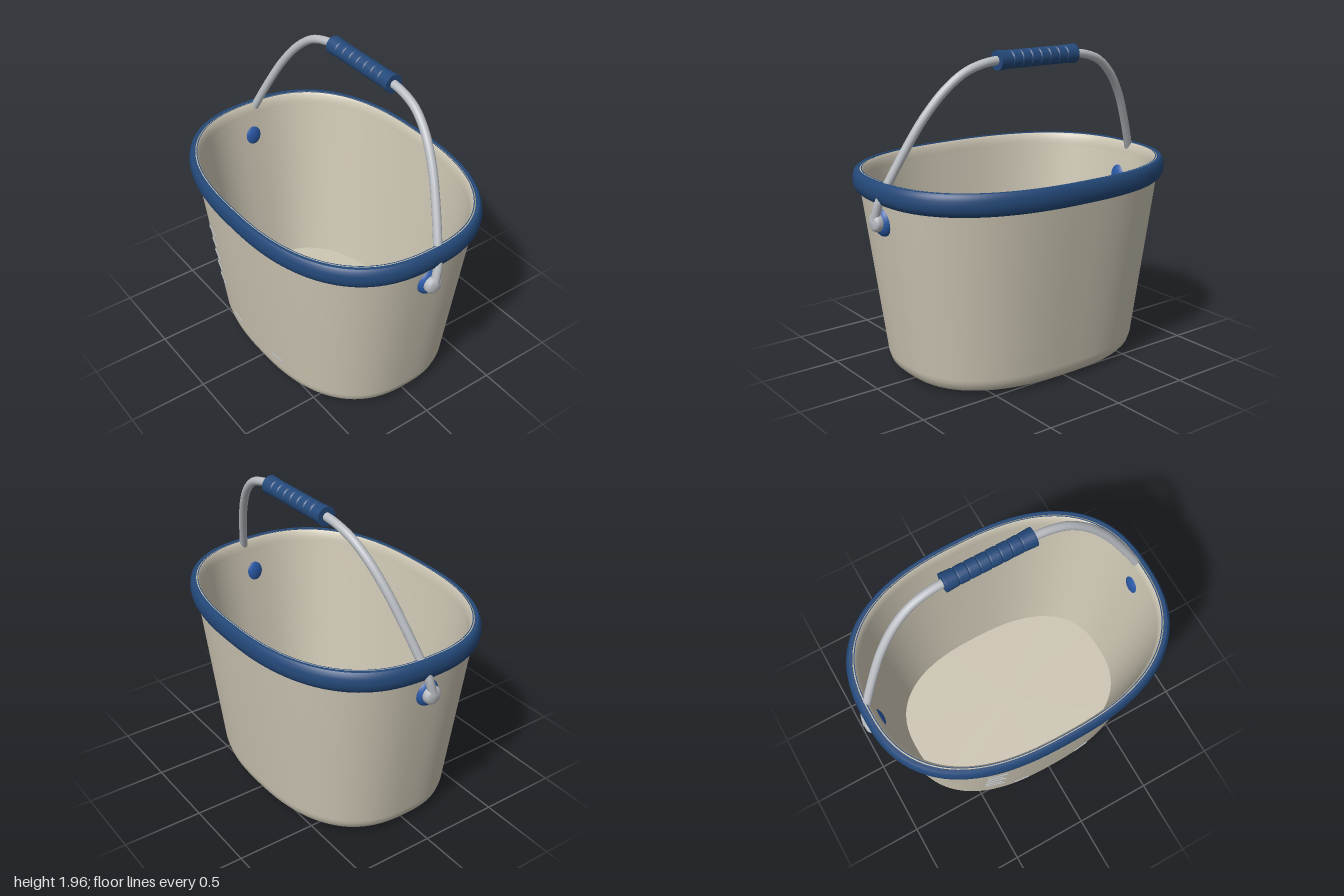
import * as THREE from 'three';

const mat = (name, color, side = THREE.FrontSide) => {
  const m = new THREE.MeshStandardMaterial({ color, side });
  m.name = name;
  return m;
};

// Rounded oval: half width a, half depth b
const POWER = 2.5;
const depthFor = (a) => 0.57 + 0.82 * (a - 0.79);
const wallWidth = (y) => 0.803 + (y - 0.1) * 0.1343;
function wallDepthAt(x, y) {
  const a = wallWidth(y);
  return depthFor(a) * Math.pow(1 - Math.pow(Math.abs(x) / a, POWER), 1 / POWER);
}

// Loft oval loops along runs of [halfWidth, y, halfDepth?]; edges between runs stay sharp
function loftOval(runs, segments = 128) {
  const pos = [], index = [];
  const bend = (v) => Math.sign(v) * Math.pow(Math.abs(v), 2 / POWER);
  for (const run of runs) {
    const base = pos.length / 3;
    run.forEach(([a, y, b = depthFor(a)], j) => {
      for (let i = 0; i < segments; i++) {
        const t = (i / segments) * Math.PI * 2;
        pos.push(a * bend(Math.cos(t)), y, b * bend(Math.sin(t)));
        if (j === run.length - 1) continue;
        const p = base + j * segments + i;
        const q = base + j * segments + ((i + 1) % segments);
        index.push(p, p + segments, q, q, p + segments, q + segments);
      }
    });
  }
  const g = new THREE.BufferGeometry();
  g.setAttribute('position', new THREE.Float32BufferAttribute(pos, 3));
  g.setIndex(index);
  g.computeVertexNormals();
  return g;
}

export function createModel() {
  const cream = mat('cream plastic', 0xcdc6b4);
  const navy = mat('navy rubber', 0x24497a);
  const blue = mat('bright blue', 0x2a59a6);
  const silver = mat('silver metal', 0xb9bdc2);
  const dark = mat('dark base', 0x1f2830);

  const model = new THREE.Group();
  const add = (name, geometry, material, parent = model) => {
    const mesh = new THREE.Mesh(geometry, material);
    mesh.name = name;
    parent.add(mesh);
    return mesh;
  };

  // Tub: underside, outer wall, lip, inner wall and floor
  add('tub', loftOval([
    [[0.001, 0.012, 0.001], [0.73, 0.012]],
    [[0.73, 0.012], [0.762, 0.022], [0.785, 0.045], [0.796, 0.075], [0.803, 0.1], [0.87, 0.6], [0.94, 1.12], [0.945, 1.2]],
    [[0.945, 1.2], [0.943, 1.247], [0.93, 1.247]],
    [[0.93, 1.247], [0.918, 1.235], [0.908, 1.2], [0.905, 1.17]],
    [[0.905, 1.17], [0.82, 0.6], [0.74, 0.05, 0.51]],
    [[0.74, 0.05, 0.51], [0.001, 0.05, 0.001]],
  ]), cream);

  // Rim band around the top
  add('rim', loftOval([
    [[0.935, 1.118], [0.95, 1.118]],
    [[0.95, 1.118], [0.966, 1.13], [0.98, 1.155], [0.985, 1.185], [0.982, 1.215], [0.975, 1.238], [0.962, 1.251]],
    [[0.962, 1.251], [0.942, 1.251]],
    [[0.942, 1.251], [0.935, 1.19], [0.935, 1.118]],
  ]), navy);
  // Fine line inside the lip
  add('rimInnerLine', loftOval([[[0.934, 1.249], [0.928, 1.249]]]), navy);

  // Round pad under the tub
  const pad = add('basePad', new THREE.CylinderGeometry(0.46, 0.46, 0.014, 64), dark);
  pad.position.y = 0.007;

  // Handle bosses and pivot knobs
  const knobProfile = [[0, -0.05], [0.056, -0.05], [0.056, 0.012], [0.05, 0.024], [0.036, 0.034], [0, 0.037]]
    .map(([r, h]) => new THREE.Vector2(r, h));
  for (const side of [1, -1]) {
    const pivot = new THREE.Group();
    pivot.name = side > 0 ? 'leftPivot' : 'rightPivot';
    const boss = add('boss', new THREE.SphereGeometry(1, 32, 20), blue, pivot);
    boss.scale.set(0.052, 0.088, 0.076);
    boss.position.set(side * 0.918, 1.012, 0);
    const knob = add('knob', new THREE.LatheGeometry(knobProfile, 32), silver, pivot);
    knob.rotation.z = -side * Math.PI / 2;
    knob.position.set(side * 0.963, 1.015, 0);
    model.add(pivot);
  }

  // Wire handle, leaning back
  const lean = (x, y) => new THREE.Vector3(x, y, -(y - 1.02) * 0.26);
  const half = [[0.978, 1.03], [0.965, 1.13], [0.92, 1.24], [0.82, 1.45], [0.73, 1.61], [0.62, 1.75], [0.5, 1.845], [0.39, 1.885], [0.28, 1.9]];
  const path = [
    ...half.map(([x, y]) => lean(-x, y)),
    ...half.slice().reverse().map(([x, y]) => lean(x, y)),
  ];
  add('handle', new THREE.TubeGeometry(new THREE.CatmullRomCurve3(path), 120, 0.026, 16), silver);

  // Ribbed grip with flared ends
  const grip = [[0.02, -0.285], [0.058, -0.285], [0.058, -0.275]];
  for (let i = -3; i <= 3; i++) {
    const h = i * 0.0667;
    grip.push([0.054, h - 0.007], [0.049, h], [0.054, h + 0.007]);
  }
  grip.push([0.058, 0.275], [0.058, 0.285], [0.02, 0.285]);
  const gripGeo = new THREE.LatheGeometry(grip.map(([r, h]) => new THREE.Vector2(r, h)), 28).toNonIndexed();
  gripGeo.computeVertexNormals();
  const gripMesh = add('grip', gripGeo, navy);
  gripMesh.rotation.z = -Math.PI / 2;
  gripMesh.position.copy(lean(0, 1.9));

  // Raised bars lying on the front wall
  const addBar = (name, x0, x1, y, height) => {
    const z0 = wallDepthAt(x0, y), z1 = wallDepthAt(x1, y);
    const bar = add(name, new THREE.BoxGeometry(Math.hypot(x1 - x0, z1 - z0), height, 0.009), silver);
    bar.position.set((x0 + x1) / 2, y, (z0 + z1) / 2 + 0.002);
    bar.rotation.y = -Math.atan2(z1 - z0, x1 - x0);
  };
  for (let i = 0; i < 5; i++) {
    addBar('levelMark', -0.485, i % 2 ? -0.388 : -0.362, 0.365 + i * 0.105, 0.012);
  }
  for (const s of [-1, 1]) addBar('lowerMark', s * 0.23 - 0.05, s * 0.23 + 0.05, 0.175, 0.008);

  return model;
}
